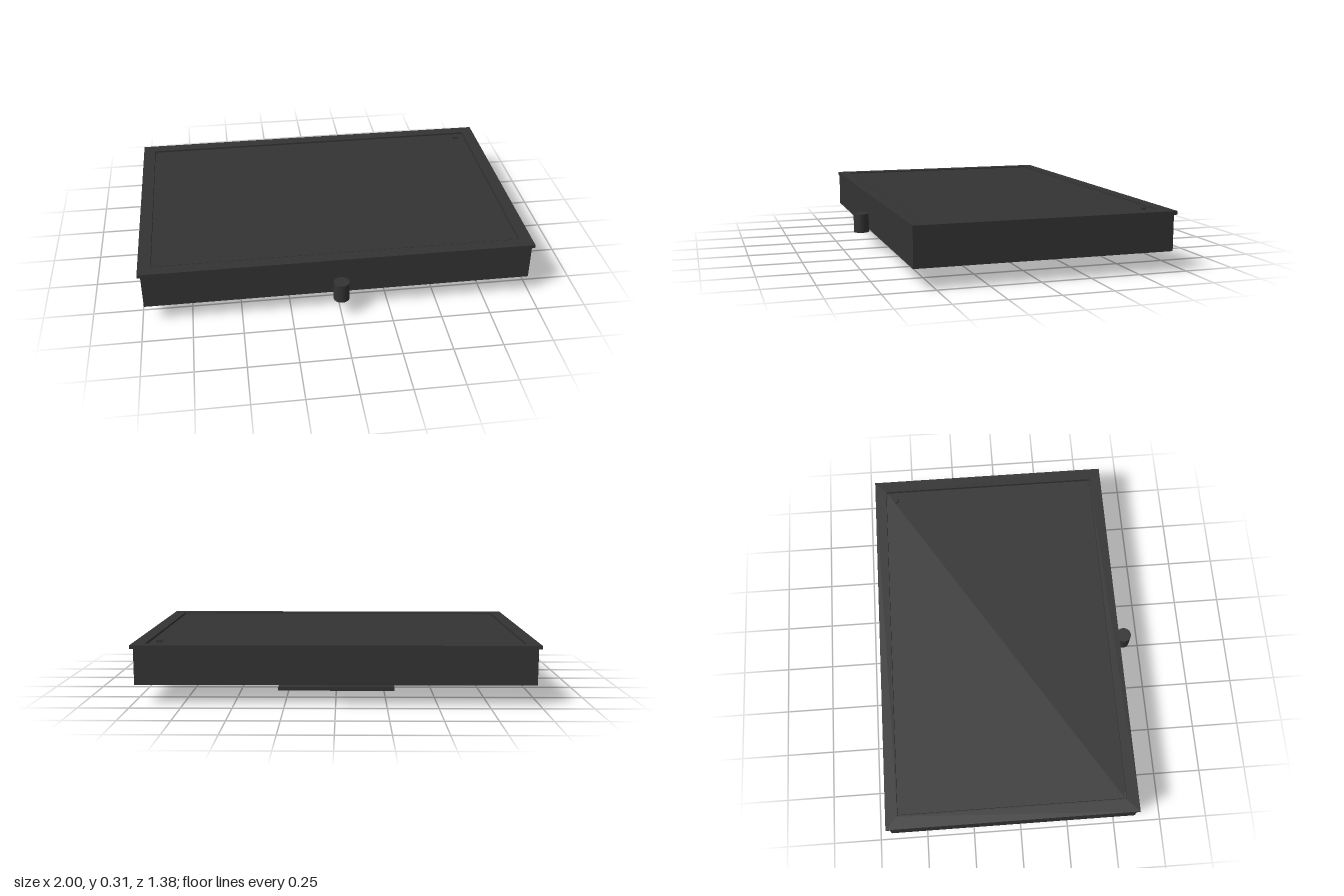
import * as THREE from 'three';

const dark = new THREE.MeshStandardMaterial({ color: 0x333333 });
const CZ = -0.042; // shared centre of the case, frame and plate

function add(parent, name, geometry, x, y, z) {
  const mesh = new THREE.Mesh(geometry, dark);
  mesh.name = name;
  mesh.position.set(x, y, z);
  parent.add(mesh);
  return mesh;
}

// Rectangular outline centred on the origin
function rect(target, w, d) {
  target.moveTo(-w / 2, -d / 2);
  target.lineTo(w / 2, -d / 2);
  target.lineTo(w / 2, d / 2);
  target.lineTo(-w / 2, d / 2);
  target.closePath();
  return target;
}

export function createModel() {
  const model = new THREE.Group();
  model.name = 'flatPanelDevice';

  // Main case
  add(model, 'case', new THREE.BoxGeometry(1.97, 0.182, 1.285), 0, 0.191, CZ + 0.003);

  // Thin overhanging frame with an opening for the panel
  const outline = rect(new THREE.Shape(), 2, 1.3);
  outline.holes.push(rect(new THREE.Path(), 1.87, 1.176));
  const frame = new THREE.ExtrudeGeometry(outline, { depth: 0.018, bevelEnabled: false });
  frame.rotateX(-Math.PI / 2);
  add(model, 'frame', frame, 0, 0.28, CZ);

  // Panel set just below the frame, with a narrow groove around it
  add(model, 'panel', new THREE.BoxGeometry(1.852, 0.012, 1.158), 0, 0.287, CZ);

  // Small button in the back corner of the panel
  add(model, 'button', new THREE.BoxGeometry(0.03, 0.014, 0.016), 0.878, 0.298, -0.571);

  // Upright knob at the front
  add(model, 'knob', new THREE.CylinderGeometry(0.04, 0.04, 0.1, 32), 0, 0.144, 0.65);

  // Base plate and four rollers under the case
  add(model, 'basePlate', new THREE.BoxGeometry(0.61, 0.02, 0.61), 0, 0.01, CZ + 0.002);
  const roller = new THREE.CylinderGeometry(0.03, 0.03, 0.073, 32).rotateX(Math.PI / 2);
  for (const x of [-0.255, 0.255]) {
    for (const z of [0.215, -0.295]) add(model, 'roller', roller, x, 0.06, z);
  }

  return model;
}
